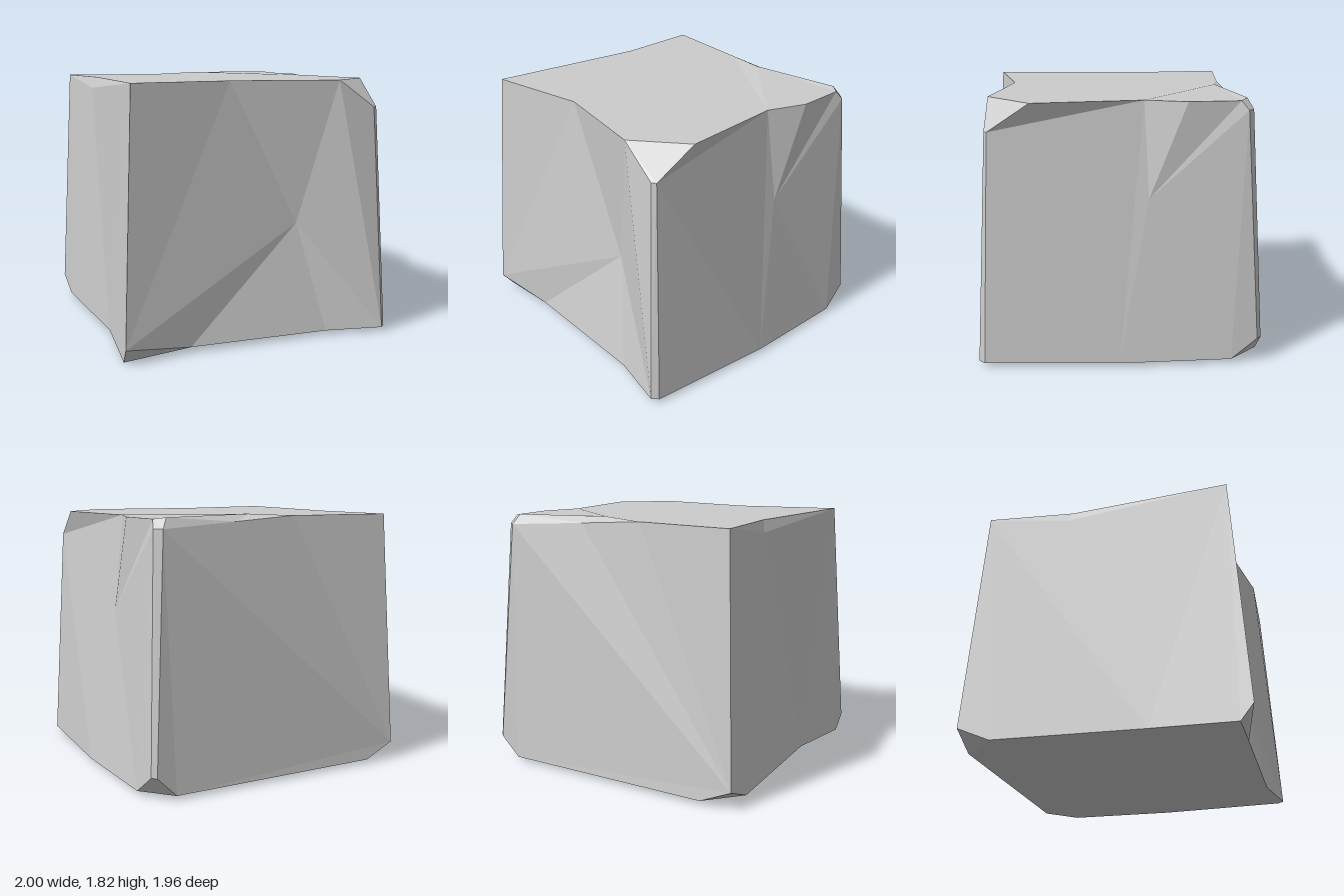
import * as THREE from 'three';

// Corner points of the hewn block, grouped by where they sit
const rim = {
  backLeft: [-0.91, 1.8, -0.89], frontLeft: [-0.91, 1.8, 0.87], frontDip: [-0.18, 1.8, 0.73],
  cutFront: [0.57, 1.8, 0.87], cutRight: [0.9, 1.8, 0.58],
  rightDip: [0.79, 1.8, -0.17], rightKnee: [0.88, 1.8, -0.45], backRightA: [0.85, 1.8, -0.8],
  backRightB: [0.78, 1.81, -0.85], backDip: [0.12, 1.815, -0.74], backKnee: [-0.2, 1.8, -0.81],
  notchIn: [-0.77, 1.8, -0.36], notchEnd: [-0.84, 1.8, -0.27],
};
const wall = {
  notchLow: [-0.87, 1.72, -0.31], frontMid: [0.32, 0.8, 0.74], rightMid: [0.87, 1.15, -0.2],
  backLow: [0.26, 1.77, -0.82],
  frBevelA: [0.84, 1.61, 0.88], frBevelB: [0.87, 1.61, 0.86],
  brBevelA: [0.87, 1.74, -0.85], brBevelB: [0.82, 1.74, -0.89],
  brLowA: [0.95, 0.17, -0.95], brLowB: [0.92, 0.17, -0.98],
  blLow: [-0.985, 0.13, -0.97], flLow: [-1, 0.11, 0.98],
};
const base = {
  frontLeft: [-0.99, 0, 0.89], frontA: [-0.52, 0.04, 0.88], frontB: [0.5, 0.03, 0.88],
  frontRightA: [0.91, 0.03, 0.96], frontRightB: [0.95, 0.03, 0.92], right: [1, 0.03, 0],
  backRightA: [0.97, 0.03, -0.77], backRightB: [0.78, 0.03, -0.975],
  backLeftA: [-0.76, 0.03, -0.98], backLeftB: [-0.98, 0.03, -0.74], left: [-0.93, 0.03, 0.3],
};

// Triangulate a polygon across its main direction, always facing out of the block
function addFacet(out, corners) {
  const p = corners.map((c) => new THREE.Vector3(...c));
  const normal = new THREE.Vector3(), mid = new THREE.Vector3();
  p.forEach((a, i) => {
    normal.add(new THREE.Vector3().crossVectors(a, p[(i + 1) % p.length]));
    mid.addScaledVector(a, 1 / p.length);
  });
  if (normal.dot(mid.sub(new THREE.Vector3(0, 0.9, 0))) < 0) normal.negate();
  const [ax, ay, az] = normal.toArray().map(Math.abs);
  const [u, v] = ax >= ay && ax >= az ? ['y', 'z'] : ay >= az ? ['x', 'z'] : ['x', 'y'];
  const flat = p.map((q) => new THREE.Vector2(q[u], q[v]));
  if (THREE.ShapeUtils.isClockWise(flat)) { flat.reverse(); p.reverse(); }
  for (const [i, j, k] of THREE.ShapeUtils.triangulateShape(flat, [])) {
    const n = p[j].clone().sub(p[i]).cross(p[k].clone().sub(p[i]));
    const tri = n.dot(normal) >= 0 ? [i, j, k] : [i, k, j];
    tri.forEach((t) => out.push(...p[t].toArray()));
  }
}

export function createModel() {
  const group = new THREE.Group();
  group.name = 'hewnBlock';
  const material = new THREE.MeshStandardMaterial({ color: 0xcccccc, flatShading: true });

  const part = (name, ...facets) => {
    const positions = [];
    facets.forEach((f) => addFacet(positions, f));
    const geometry = new THREE.BufferGeometry();
    geometry.setAttribute('position', new THREE.Float32BufferAttribute(positions, 3));
    geometry.computeVertexNormals();
    const mesh = new THREE.Mesh(geometry, material);
    mesh.name = name;
    group.add(mesh);
  };

  // Caps: the outlines of rim and base, in order round the block
  part('top', [rim.backLeft, rim.notchIn, rim.notchEnd, rim.frontLeft, rim.frontDip, rim.cutFront,
    rim.cutRight, rim.rightDip, rim.rightKnee, rim.backRightA, rim.backRightB, rim.backDip, rim.backKnee]);
  part('underside', Object.values(base));

  // Walls, split along their creases
  part('frontWall',
    [rim.frontLeft, rim.frontDip, wall.frontMid, base.frontA, wall.flLow],
    [base.frontA, wall.frontMid, base.frontB],
    [rim.frontDip, rim.cutFront, wall.frBevelA, base.frontRightA, base.frontB, wall.frontMid]);
  part('rightWall',
    [rim.cutRight, rim.rightDip, wall.rightMid, base.right, base.frontRightB, wall.frBevelB],
    [rim.rightDip, rim.rightKnee, wall.rightMid],
    [rim.rightKnee, rim.backRightA, wall.brBevelA, wall.brLowA, base.backRightA, base.right, wall.rightMid]);
  part('backWall',
    [rim.backLeft, rim.backKnee, wall.backLow, wall.brBevelB, wall.brLowB,
      base.backRightB, base.backLeftA, wall.blLow]);
  part('leftWall',
    [rim.backLeft, wall.notchLow, base.left, base.backLeftB, wall.blLow],
    [wall.notchLow, rim.notchEnd, rim.frontLeft, base.left],
    [rim.frontLeft, wall.flLow, base.frontLeft, base.left]);

  // Narrow bevels down the upright edges
  part('frontRightBevel', [wall.frBevelA, wall.frBevelB, base.frontRightB, base.frontRightA]);
  part('backRightBevel', [wall.brBevelA, wall.brBevelB, wall.brLowB, wall.brLowA]);

  // Chips knocked off the corners and rim
  part('topFrontRightChip', [rim.cutFront, rim.cutRight, wall.frBevelB, wall.frBevelA]);
  part('topBackRightChip', [rim.backRightA, rim.backRightB, wall.brBevelB, wall.brBevelA]);
  part('backRimChip',
    [rim.backKnee, rim.backDip, wall.backLow],
    [rim.backDip, rim.backRightB, wall.brBevelB, wall.backLow]);
  part('leftRimChip', [rim.backLeft, rim.notchIn, rim.notchEnd, wall.notchLow]);
  part('bottomBackRightChip', [wall.brLowA, wall.brLowB, base.backRightB, base.backRightA]);
  part('bottomBackLeftChip', [base.backLeftA, base.backLeftB, wall.blLow]);
  part('bottomFrontLeftChip', [wall.flLow, base.frontA, base.frontLeft]);

  return group;
}
